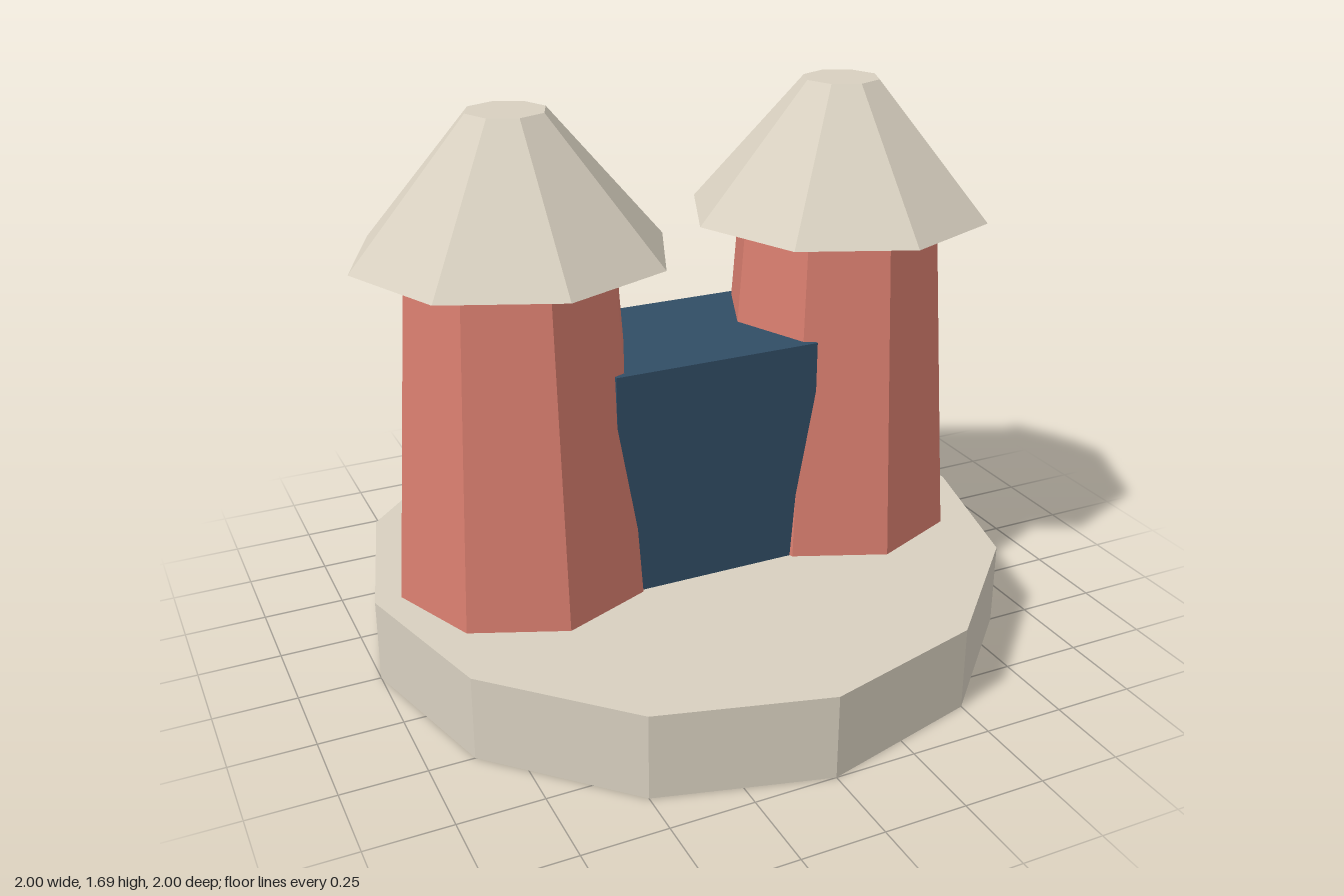
import * as THREE from 'three';

export function createModel() {
  const model = new THREE.Group();
  model.name = 'twinTowerGate';

  const material = (name, color) => {
    const m = new THREE.MeshStandardMaterial({ color, flatShading: true });
    m.name = name;
    return m;
  };
  const stone = material('pale stone', 0xd8d0c0);
  const brick = material('red brick', 0xd97e6f);
  const navy = material('navy blue', 0x314d65);

  const add = (parent, name, geometry, mat, y) => {
    const mesh = new THREE.Mesh(geometry, mat);
    mesh.name = name;
    mesh.position.y = y;
    parent.add(mesh);
    return mesh;
  };
  // Faceted drum standing on y, with corners on the x and z axes
  const drum = (parent, name, rTop, rBottom, y0, y1, sides, mat) =>
    add(parent, name, new THREE.CylinderGeometry(rTop, rBottom, y1 - y0, sides), mat, (y0 + y1) / 2);

  // Twelve-sided plinth
  drum(model, 'base', 1, 1, 0, 0.26, 12, stone);

  // Gate block between the towers
  add(model, 'gate', new THREE.BoxGeometry(0.65, 0.7, 0.53), navy, 0.61);

  // Mirrored pair of tapered octagonal towers with truncated roofs
  for (const [name, x] of [['leftTower', 0.53], ['rightTower', -0.53]]) {
    const tower = new THREE.Group();
    tower.name = name;
    tower.position.x = x;
    drum(tower, 'towerWall', 0.315, 0.39, 0.26, 1.28, 8, brick);
    drum(tower, 'towerRoof', 0.117, 0.468, 1.28, 1.69, 8, stone);
    model.add(tower);
  }

  return model;
}
